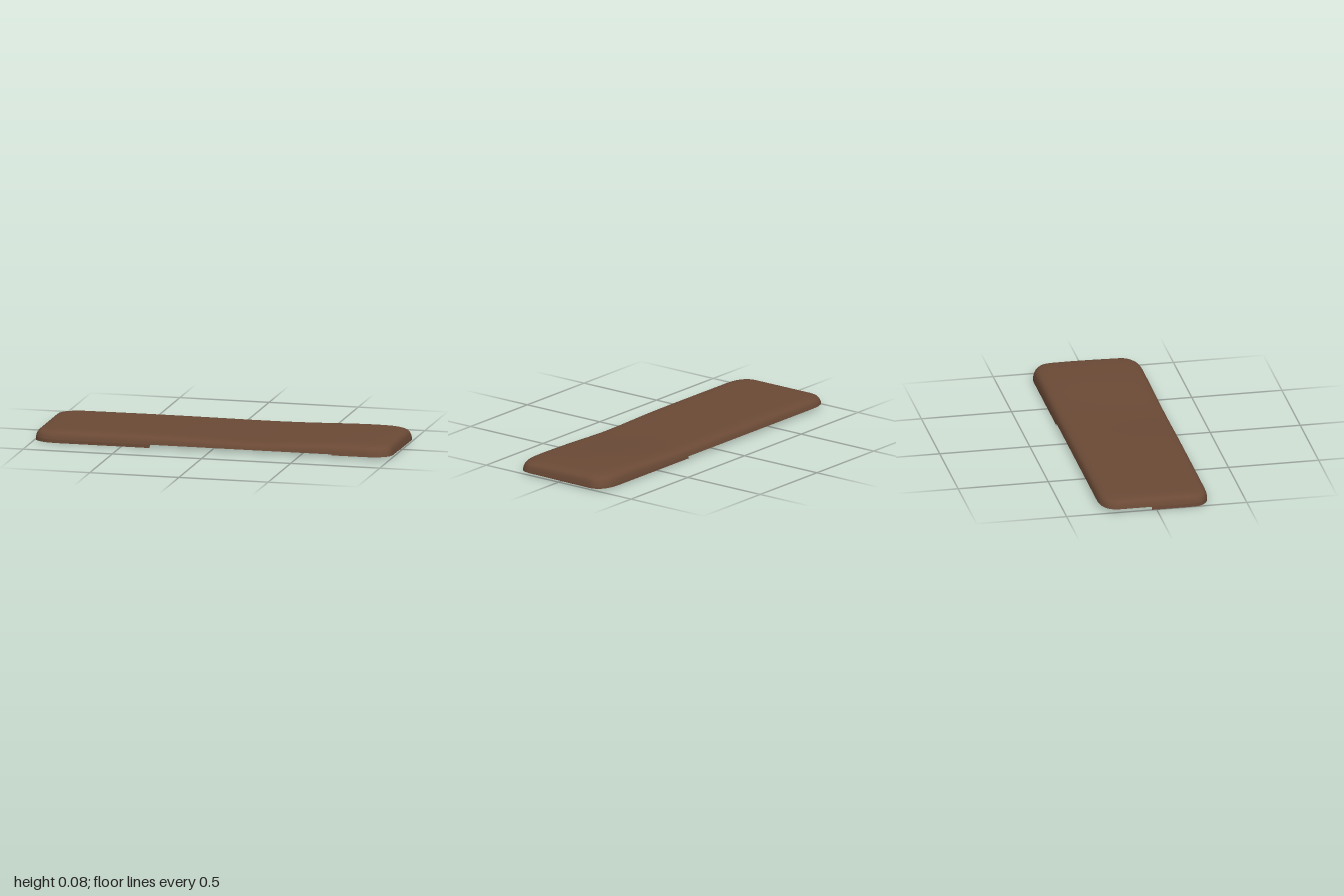
import * as THREE from 'three';

const A = 1, B = 0.303;            // half length, half width
const RX = 0.15, RZ = 0.1;         // corner radii in plan
const RIM = 0.018;                 // height of the shell's rim

// outline parameter: unit offsets so that every inset loop has matching points
function outline() {
  const pts = [];                  // [straight x, straight z, corner cos, corner sin]
  const sx = A - RX, sz = B - RZ;
  const line = (x0, z0, x1, z1, c, s, cuts) => {
    const n = x0 === x1 ? 14 : 44, ts = [];
    for (let i = 0; i < n; i++) ts.push(i / n);
    cuts.forEach(t => ts.push(t));
    ts.sort((a, b) => a - b).forEach(t =>
      pts.push([x0 + (x1 - x0) * t, z0 + (z1 - z0) * t, c, s]));
  };
  const corner = (x, z, start) => {
    for (let i = 0; i < 12; i++) {
      const a = start + i / 12 * Math.PI / 2;
      const c = Math.cos(a), s = Math.sin(a), p = 0.85;
      pts.push([x, z, Math.sign(c) * Math.abs(c) ** p, Math.sign(s) * Math.abs(s) ** p]);
    }
  };
  const H = Math.PI / 2;
  line(sx, -sz, sx, sz, 1, 0, []);
  corner(sx, sz, 0);
  line(sx, sz, -sx, sz, 0, 1, [(sx - 0.68) / (2 * sx), (sx + 0.34) / (2 * sx)]);
  corner(-sx, sz, H);
  line(-sx, sz, -sx, -sz, -1, 0, [(sz + 0.025) / (2 * sz)]);
  corner(-sx, -sz, 2 * H);
  line(-sx, -sz, sx, -sz, 0, -1, [(sx + 0.24) / (2 * sx)]);
  corner(sx, -sz, 3 * H);
  return pts;
}

const bump = (x, z, cx, cz, wx, wz) => Math.exp(-(((x - cx) / wx) ** 2) - ((z - cz) / wz) ** 2);

// gently sagging top
const topHeight = (x, z) => 0.066 + 0.014 * bump(x, z, 0.78, -0.1, 0.32, 0.35)
  - 0.012 * bump(x, z, 0.22, 0.2, 0.28, 0.3) + 0.003 * bump(x, z, -0.4, -0.1, 0.4, 0.3);

// lower edge of the hanging strips
const hemHeight = (x, z) => x < 0 ? 0 : 0.01 + 0.01 * z;

// stretches of the outline that hang below the rim
function hangs(x, z) {
  if (z > 0.29 && Math.abs(x) < 0.9) return x < -0.34 || x > 0.68;
  if (z < -0.29 && Math.abs(x) < 0.9) return x > 0.24;
  return x > 0 || z > -0.025;
}

// joins loops of points with outward-facing quads
function loft(loops, keep = () => true) {
  const n = loops[0].length, pos = loops.flat(2), idx = [];
  for (let i = 0; i < loops.length - 1; i++) for (let j = 0; j < n; j++) {
    if (!keep(j)) continue;
    const k = (j + 1) % n, a = i * n + j, b = i * n + k;
    idx.push(a, a + n, b, b, a + n, b + n);
  }
  const g = new THREE.BufferGeometry();
  g.setAttribute('position', new THREE.Float32BufferAttribute(pos, 3));
  g.setIndex(idx);
  g.computeVertexNormals();
  return g;
}

export function createModel() {
  const group = new THREE.Group();
  const mat = new THREE.MeshStandardMaterial({ color: 0x6b4a36, side: THREE.DoubleSide });
  const base = outline();
  const ring = (inset, scale, yOf) => base.map(([x, z, c, s]) => {
    const px = (x + c * RX) * (1 - inset / A) * scale;
    const pz = (z + s * RZ) * (1 - inset / B) * scale;
    return [px, yOf(px, pz), pz];
  });

  // rounded edge: inset and share of the height above the rim
  const edge = [[0.001, 0], [0.004, 0.25], [0.008, 0.48], [0.014, 0.66],
    [0.023, 0.8], [0.036, 0.9], [0.055, 0.965], [0.08, 1]];
  const loops = edge.map(([d, f]) => ring(d, 1, (x, z) => RIM + (topHeight(x, z) - RIM) * f));
  // top surface, closing in to the middle
  for (let i = 1; i <= 14; i++) loops.push(ring(0.08, Math.max(1 - i / 14, 0.001), topHeight));
  const cover = new THREE.Mesh(loft(loops), mat);
  cover.name = 'cushionCover';

  // strips hanging below the rim
  const rim = ring(0.001, 1, () => RIM);
  const hem = ring(0, 1, hemHeight);
  const strips = new THREE.Mesh(loft([hem, rim], j => {
    const p = rim[j], q = rim[(j + 1) % rim.length];
    return hangs((p[0] + q[0]) / 2, (p[2] + q[2]) / 2);
  }), mat);
  strips.name = 'hemStrips';

  group.add(cover, strips);
  return group;
}
